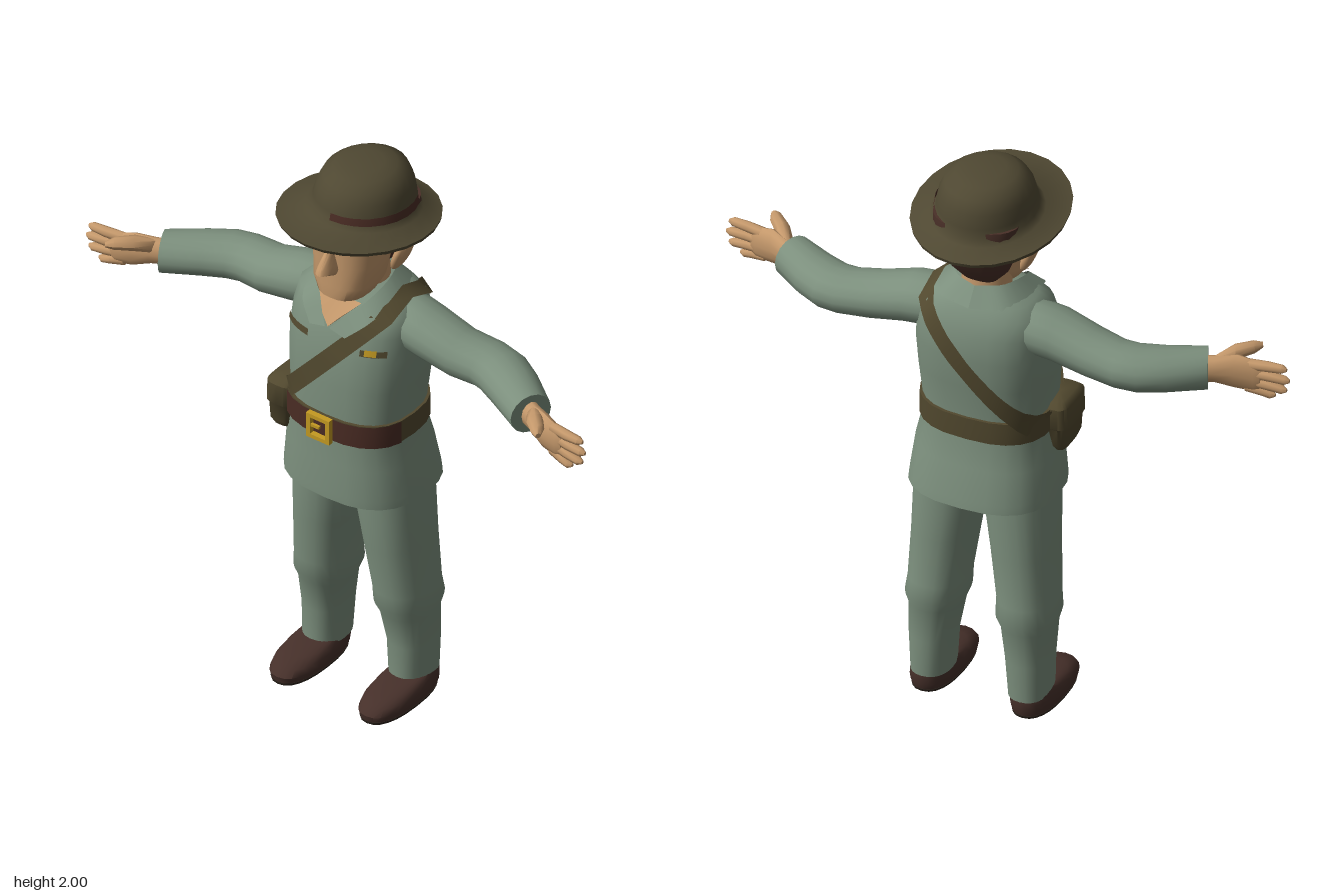
import * as THREE from 'three';
import { toCreasedNormals } from 'three/addons/utils/BufferGeometryUtils.js';

const SEG = 24;
const paint = (name, color, side = THREE.FrontSide) => {
  const m = new THREE.MeshStandardMaterial({ color, side });
  m.name = name;
  return m;
};

// Closed skin over a list of equal loops, capped at both ends
function loft(loops) {
  const n = loops[0].length, pos = loops.flat(2), idx = [];
  for (let i = 0; i < loops.length - 1; i++) for (let j = 0; j < n; j++) {
    const a = i * n + j, b = i * n + (j + 1) % n;
    idx.push(a, b, b + n, a, b + n, a + n);
  }
  [0, loops.length - 1].forEach((r, end) => {
    const c = pos.length / 3;
    for (let k = 0; k < 3; k++) pos.push(loops[r].reduce((s, p) => s + p[k], 0) / n);
    for (let j = 0; j < n; j++) {
      const a = r * n + j, b = r * n + (j + 1) % n;
      idx.push(...(end ? [c, a, b] : [c, b, a]));
    }
  });
  const g = new THREE.BufferGeometry();
  g.setAttribute('position', new THREE.Float32BufferAttribute(pos, 3));
  g.setIndex(idx);
  return toCreasedNormals(g, 0.85);
}

const pw = (v, n) => Math.sign(v) * Math.abs(v) ** (2 / n);

// Horizontal rounded section: y, x range, z range, tilt of y along z
function oval([y, x0, x1, z0, z1, tilt = 0], n = 2) {
  return Array.from({ length: SEG }, (_, j) => {
    const t = j / SEG * Math.PI * 2;
    const z = (z0 + z1) / 2 - pw(Math.sin(t), n) * (z1 - z0) / 2;
    return [(x0 + x1) / 2 + pw(Math.cos(t), n) * (x1 - x0) / 2, y + tilt * z, z];
  });
}
const column = (rows, n) => loft(rows.map(r => oval(r, n)));

// Limb running along x: x, y, z, radius in y, radius in z, lean of the section
const limb = (rows, seg = 16) => loft(rows.map(([x, y, z, ry, rz, lean = 0]) =>
  Array.from({ length: seg }, (_, j) => {
    const t = j / seg * Math.PI * 2, dz = Math.sin(t) * rz;
    return [x + lean * dz, y + Math.cos(t) * ry, z + dz];
  })));

// Open strip between two equal rows of points
function ribbon(a, b) {
  const idx = [];
  for (let i = 0; i < a.length - 1; i++) {
    const c = i + a.length;
    idx.push(i, i + 1, c + 1, i, c + 1, c);
  }
  const g = new THREE.BufferGeometry();
  g.setAttribute('position', new THREE.Float32BufferAttribute([...a, ...b].flat(), 3));
  g.setIndex(idx);
  g.computeVertexNormals();
  return g;
}
const smooth = (pts, n = 14) =>
  new THREE.CatmullRomCurve3(pts.map(p => new THREE.Vector3(...p))).getPoints(n).map(p => p.toArray());

const sym = (y, x, z0, z1, tilt) => [y, -x, x, z0, z1, tilt];
const TORSO = [
  sym(0.81, 0.25, -0.235, 0.19), sym(0.84, 0.247, -0.23, 0.19), sym(0.95, 0.235, -0.205, 0.185),
  sym(1.05, 0.215, -0.18, 0.18), sym(1.13, 0.215, -0.18, 0.18), sym(1.25, 0.225, -0.195, 0.18),
  sym(1.36, 0.23, -0.205, 0.17), sym(1.45, 0.225, -0.2, 0.15), sym(1.51, 0.213, -0.18, 0.125),
  sym(1.545, 0.17, -0.16, 0.09), sym(1.57, 0.11, -0.14, 0.06),
];
const ROUND = 2.6;

// Point on the jacket at x, y; side is 1 for the front and -1 for the back
function onTorso(x, y, side, lift) {
  let i = 0;
  while (i < TORSO.length - 2 && TORSO[i + 1][0] < y) i++;
  const a = TORSO[i], b = TORSO[i + 1], t = Math.min(1, (y - a[0]) / (b[0] - a[0]));
  const [, , rx, z0, z1] = a.map((v, k) => v + (b[k] - v) * t);
  const k = Math.max(0, 1 - Math.abs(x / rx) ** ROUND) ** (1 / ROUND);
  return [x * 1.03, y, (z0 + z1) / 2 + side * (k * (z1 - z0) / 2 + lift)];
}

export function createModel() {
  const model = new THREE.Group();
  const cloth = paint('sage cloth', 0x7c8f7d, THREE.DoubleSide);
  const skin = paint('skin', 0xc4986b, THREE.DoubleSide);
  const olive = paint('olive felt', 0x4f4832);
  const webbing = paint('olive webbing', 0x51482e, THREE.DoubleSide);
  const hairMat = paint('brown hair', 0x4a3028);
  const leather = paint('brown leather', 0x46302a);
  const beltMat = paint('red brown leather', 0x4a2c24, THREE.DoubleSide);
  const gold = paint('gold', 0xc49a22, THREE.DoubleSide);
  const dark = paint('dark brown', 0x2c231c);

  const add = (name, geo, mat) => {
    const m = new THREE.Mesh(geo, mat);
    m.name = name;
    model.add(m);
    return m;
  };
  const both = (name, geo, mat) => {
    add(name + 'Left', geo, mat);
    add(name + 'Right', geo, mat).scale.x = -1;
  };
  const box = (w, h, d, x, y, z, ry = 0) =>
    new THREE.BoxGeometry(w, h, d).rotateY(ry).translate(x, y, z);

  // Jacket, sleeves and trousers
  add('jacket', column(TORSO, ROUND), cloth);
  both('sleeve', limb([
    [0.10, 1.455, -0.05, 0.075, 0.085], [0.18, 1.452, -0.045, 0.085, 0.1], [0.26, 1.44, -0.04, 0.084, 0.1],
    [0.38, 1.41, -0.043, 0.076, 0.095], [0.48, 1.4, -0.055, 0.072, 0.092, -0.15],
    [0.54, 1.395, -0.045, 0.072, 0.088, -0.35], [0.62, 1.39, -0.005, 0.07, 0.08, -0.45],
    [0.735, 1.385, 0.065, 0.07, 0.067, -0.45],
  ]), cloth);
  both('trouserLeg', column([
    [0.065, 0.105, 0.24, -0.155, 0.03], [0.2, 0.095, 0.245, -0.16, 0.03], [0.32, 0.075, 0.25, -0.16, 0.05],
    [0.36, 0.06, 0.26, -0.177, 0.07], [0.42, 0.06, 0.253, -0.168, 0.075], [0.6, 0.035, 0.245, -0.165, 0.095],
    [0.8, 0.004, 0.24, -0.165, 0.115], [0.88, 0, 0.23, -0.16, 0.11],
  ], 2.3), cloth);

  // Shoes
  both('shoe', column([
    [0.008, 0.105, 0.25, -0.145, 0.195], [0.03, 0.098, 0.257, -0.152, 0.2], [0.052, 0.1, 0.255, -0.152, 0.18],
    [0.07, 0.107, 0.247, -0.152, 0.12], [0.085, 0.115, 0.235, -0.145, 0.03],
  ], 2.4), leather);
  both('sole', column([[0, 0.105, 0.25, -0.145, 0.195], [0.009, 0.103, 0.252, -0.148, 0.197]], 2.4), dark);

  // Hands
  both('palm', limb([
    [0.68, 1.385, 0.04, 0.045, 0.04], [0.76, 1.382, 0.075, 0.047, 0.036],
    [0.82, 1.376, 0.1, 0.062, 0.032], [0.88, 1.365, 0.113, 0.058, 0.024], [0.9, 1.362, 0.115, 0.045, 0.015],
  ], 12), skin);
  [[1.408, 0.985, 1.412], [1.378, 0.995, 1.372], [1.348, 0.985, 1.334], [1.324, 0.945, 1.305]]
    .forEach(([y0, x1, y1], i) => both('finger' + (i + 1), limb([
      [0.85, y0, 0.108, 0.019, 0.018], [(0.85 + x1) / 2, (y0 + y1) / 2, 0.118, 0.018, 0.018],
      [x1 - 0.015, y1, 0.122, 0.015, 0.015], [x1, y1, 0.122, 0.006, 0.006],
    ], 8), skin));
  both('thumb', limb([
    [0.75, 1.405, 0.08, 0.02, 0.028], [0.8, 1.425, 0.13, 0.025, 0.026, -0.5],
    [0.845, 1.43, 0.175, 0.02, 0.02, -0.6], [0.865, 1.43, 0.198, 0.009, 0.009, -0.6],
  ], 8), skin);

  // Head
  add('neck', column([sym(1.5, 0.085, -0.12, 0.05), sym(1.64, 0.08, -0.11, 0.05)]), skin);
  add('face', column([
    sym(1.553, 0.055, 0, 0.125), sym(1.573, 0.085, -0.04, 0.155), sym(1.62, 0.11, -0.06, 0.157),
    sym(1.7, 0.12, -0.08, 0.15), sym(1.78, 0.13, -0.1, 0.156), sym(1.86, 0.13, -0.1, 0.15),
  ], 2.5), skin);
  add('nose', column([
    sym(1.665, 0.022, 0.1, 0.16), sym(1.692, 0.03, 0.1, 0.218), sym(1.712, 0.025, 0.1, 0.212),
    sym(1.75, 0.017, 0.1, 0.18), sym(1.795, 0.014, 0.1, 0.16),
  ]), skin);
  both('ear', new THREE.SphereGeometry(1, 12, 10).scale(0.02, 0.078, 0.042)
    .rotateZ(-0.38).rotateX(-0.1).translate(0.152, 1.712, -0.03), skin);
  add('hair', column([
    sym(1.615, 0.06, -0.115, -0.04), sym(1.66, 0.1, -0.148, -0.02), sym(1.75, 0.134, -0.195, 0.01),
    sym(1.79, 0.15, -0.205, 0.03), sym(1.86, 0.15, -0.2, 0.03),
  ], 2.5), hairMat);
  both('eyebrow', box(0.065, 0.012, 0.008, 0.062, 1.8, 0.153, 0.14), dark);
  both('eye', box(0.035, 0.012, 0.008, 0.06, 1.78, 0.152, 0.14), dark);

  // Hat with a tilted brim and a partial band
  const hat = [
    sym(1.832, 0.14, -0.18, 0.12, 0.12), sym(1.812, 0.25, -0.285, 0.282, 0.12), sym(1.826, 0.254, -0.29, 0.29, 0.12),
    sym(1.843, 0.185, -0.225, 0.168, 0.12), sym(1.862, 0.166, -0.212, 0.152, 0.1), sym(1.89, 0.16, -0.21, 0.146, 0.08),
    sym(1.93, 0.15, -0.204, 0.135, 0.04), sym(1.967, 0.132, -0.185, 0.112), sym(1.99, 0.1, -0.145, 0.08),
    sym(2, 0.06, -0.1, 0.04),
  ];
  add('hat', column(hat), olive);
  const bandEdge = i => {
    const [y, , x, z0, z1, t] = hat[i], o = oval(sym(y, x + 0.005, z0 - 0.005, z1 + 0.005, t));
    return [...o.slice(18), ...o.slice(0, 3)];
  };
  add('hatBand', ribbon(bandEdge(4), bandEdge(5)), beltMat);

  // Collar and open neck
  both('collar', ribbon(
    smooth([[0, 1.602, -0.125], [0.08, 1.605, -0.09], [0.11, 1.595, -0.01], [0.085, 1.545, 0.1], [0.008, 1.465, 0.17]]),
    smooth([[0, 1.54, -0.17], [0.12, 1.545, -0.135], [0.155, 1.55, -0.01], [0.135, 1.51, 0.12], [0.07, 1.45, 0.17]]),
  ), cloth);
  add('openNeck', ribbon([[-0.085, 1.555, 0.1], [0, 1.555, 0.1], [0.085, 1.555, 0.1]].reverse(),
    [[-0.03, 1.5, 0.155], [0, 1.465, 0.166], [0.03, 1.5, 0.155]].reverse()), skin);

  // Belt with leather front and buckle
  add('belt', column([sym(1.05, 0.224, -0.19, 0.19), sym(1.13, 0.224, -0.19, 0.19)], ROUND), webbing);
  const beltEdge = y => oval(sym(y, 0.228, -0.194, 0.195), ROUND).slice(13);
  add('beltFront', ribbon(beltEdge(1.049), beltEdge(1.131)), beltMat);
  const frame = new THREE.Shape([[-0.046, -0.046], [0.046, -0.046], [0.046, 0.046], [-0.046, 0.046]]
    .map(p => new THREE.Vector2(...p)));
  frame.holes.push(new THREE.Path([[-0.03, -0.032], [-0.03, 0.032], [0.03, 0.032], [0.03, -0.032]]
    .map(p => new THREE.Vector2(...p))));
  add('buckle', new THREE.ExtrudeGeometry(frame, { depth: 0.02, bevelEnabled: false })
    .translate(-0.005, 1.088, 0.194), gold);
  add('bucklePin', box(0.035, 0.01, 0.01, -0.02, 1.088, 0.205), gold);

  // Shoulder strap: up the front, over the shoulder, down the back
  const strap = w => {
    const N = 16, run = side => Array.from({ length: N + 1 }, (_, i) => {
      const t = i / N;
      return onTorso(-0.205 + 0.37 * t + w, 1.1 + 0.43 * t - w, side, 0.014);
    });
    return [...run(1), [0.168 + w, 1.562 - w * 0.7, -0.035], ...run(-1).reverse()];
  };
  add('shoulderStrap', ribbon(strap(-0.021), strap(0.021)), webbing);
  add('pouch', column([
    [0.96, -0.255, -0.19, 0, 0.125], [0.985, -0.265, -0.175, -0.02, 0.14], [1.05, -0.268, -0.17, -0.025, 0.145],
    [1.055, -0.275, -0.165, -0.03, 0.15], [1.13, -0.272, -0.165, -0.03, 0.15], [1.147, -0.255, -0.175, -0.01, 0.13],
  ], 4), webbing);

  // Chest badges laid on the cloth
  const patch = (name, x0, x1, y0, y1, lift, mat) => {
    const edge = y => [0, 1, 2, 3, 4].map(i => onTorso(x0 + (x1 - x0) * i / 4, y, 1, lift));
    add(name, ribbon(edge(y0), edge(y1)), mat);
  };
  patch('badgeRight', -0.185, -0.08, 1.394, 1.416, 0.007, webbing);
  patch('badgeLeft', 0.115, 0.19, 1.394, 1.416, 0.007, webbing);
  patch('badgeTrim', 0.13, 0.165, 1.398, 1.42, 0.01, gold);

  return model;
}
